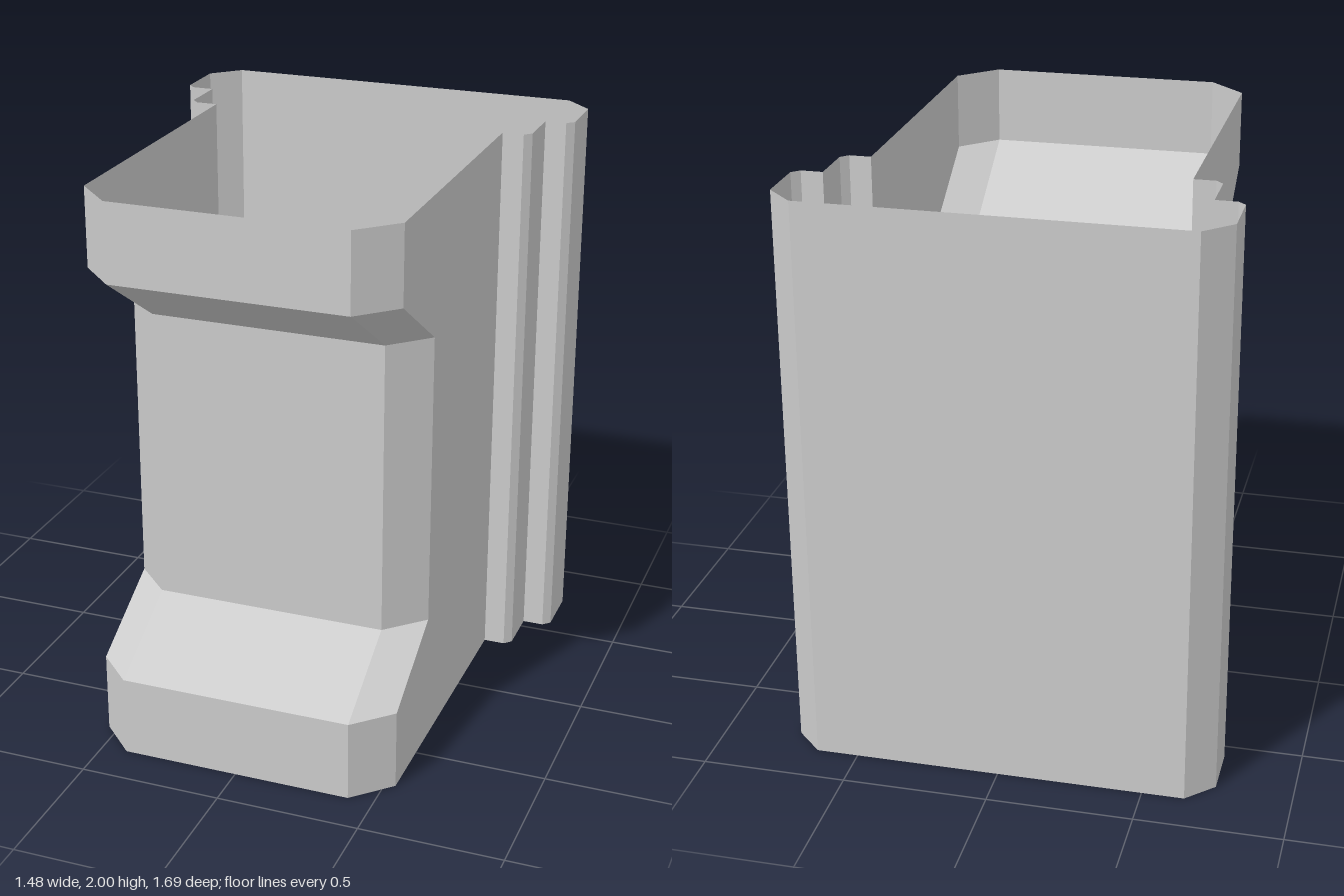
import * as THREE from 'three';

const material = new THREE.MeshStandardMaterial({ color: 0xcccccc, flatShading: true, side: THREE.DoubleSide });

// Heights of the cross-sections, and how far the front is set back at each
const LEVELS = [[0, 0], [0.285, 0], [0.47, 0.33], [1.51, 0.33], [1.725, 0], [2, 0]];

// Open sheet through a path of [x, z, followsFront] points, lofted over the levels
function sheet(name, path, levels) {
  const pos = [];
  const at = ([x, z, moves], [y, inset]) => [x, y, z - (moves ? inset : 0)];
  for (let j = 0; j < levels.length - 1; j++) {
    for (let i = 0; i < path.length - 1; i++) {
      const a = at(path[i], levels[j]), b = at(path[i + 1], levels[j]);
      const c = at(path[i + 1], levels[j + 1]), d = at(path[i], levels[j + 1]);
      pos.push(...a, ...b, ...c, ...a, ...c, ...d);
    }
  }
  const geometry = new THREE.BufferGeometry();
  geometry.setAttribute('position', new THREE.Float32BufferAttribute(pos, 3));
  geometry.computeVertexNormals();
  const mesh = new THREE.Mesh(geometry, material);
  mesh.name = name;
  return mesh;
}

const mirror = (path) => path.map(([x, z, m]) => [-x, z, m]).reverse();

export function createModel() {
  const group = new THREE.Group();
  group.name = 'openShell';

  // Chamfered front with a recessed middle
  const front = [[0.41, 0.845, true], [0.537, 0.72, true]];
  group.add(sheet('frontCover', [...mirror(front), ...front], LEVELS));

  // Flat side walls whose front edge follows the recess
  const side = [[0.537, 0.72, true], [0.537, -0.345, false]];
  group.add(sheet('leftWall', side, LEVELS));
  group.add(sheet('rightWall', mirror(side), LEVELS));

  // Rear housing, widening in two chamfered steps
  const rear = [
    [0.537, -0.345], [0.612, -0.345], [0.637, -0.37], [0.637, -0.54],
    [0.712, -0.54], [0.738, -0.565], [0.738, -0.753], [0.645, -0.845],
  ];
  group.add(sheet('rearHousing', [...rear, ...mirror(rear)], [[0, 0], [2, 0]]));

  return group;
}
